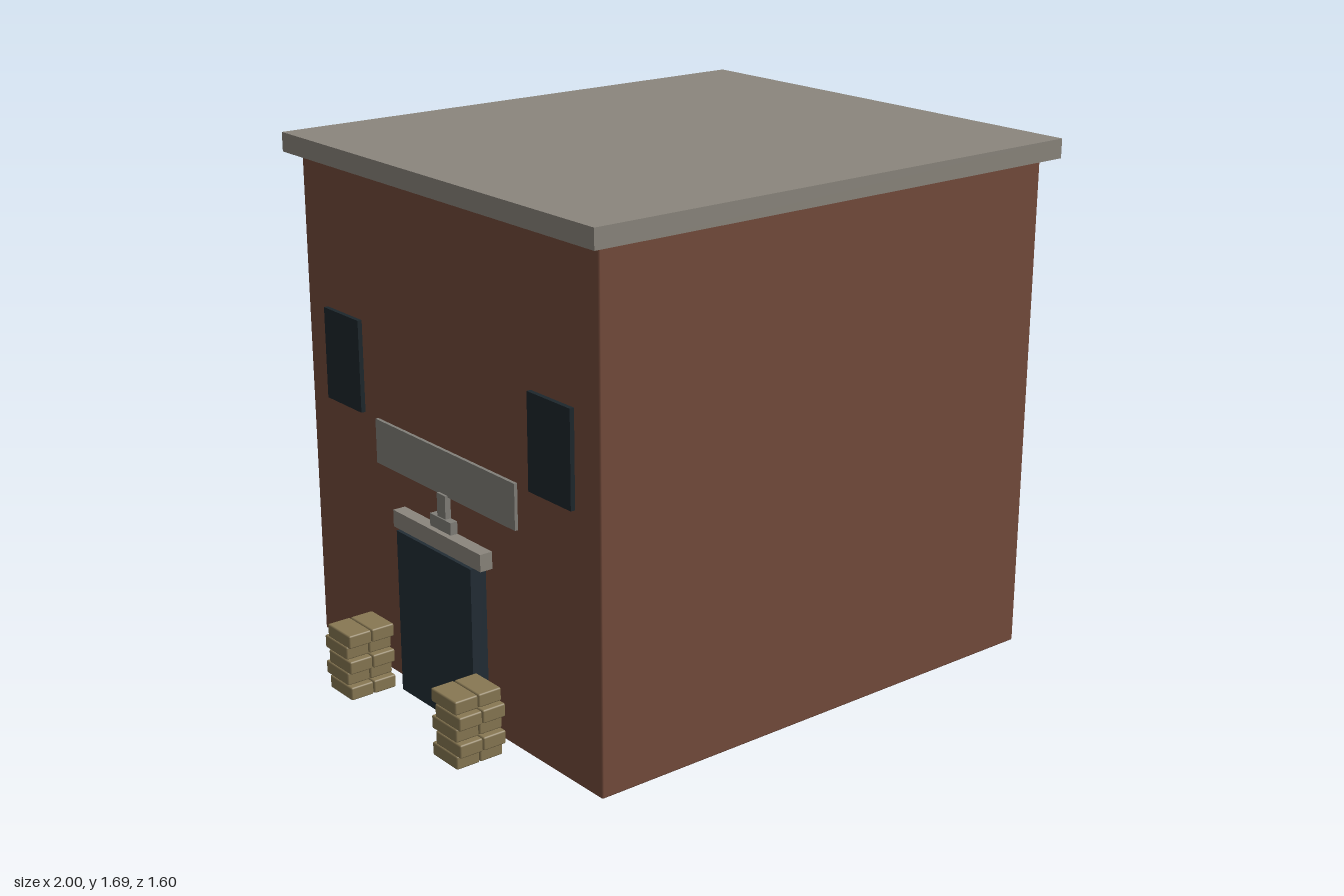
import * as THREE from 'three';
import { RoundedBoxGeometry } from 'three/addons/geometries/RoundedBoxGeometry.js';

const mat = (name, color) => {
  const m = new THREE.MeshStandardMaterial({ color });
  m.name = name;
  return m;
};

export function createModel() {
  const group = new THREE.Group();
  group.name = 'building';
  const brick = mat('red brown wall', 0x744b3b);
  const roofGrey = mat('warm grey roof', 0x8b867d);
  const doorDark = mat('dark slate door', 0x222d35);
  const glass = mat('dark window', 0x1d272c);
  const signGrey = mat('sign grey', 0x817f79);
  const stone = mat('tan stone', 0x887853);

  // Box given by its extents; a bevel softens the edges
  const box = (name, material, [x0, x1], [y0, y1], [z0, z1], bevel = 0, parent = group) => {
    const size = [x1 - x0, y1 - y0, z1 - z0];
    const geo = bevel ? new RoundedBoxGeometry(...size, 1, bevel) : new THREE.BoxGeometry(...size);
    const mesh = new THREE.Mesh(geo, material);
    mesh.position.set((x0 + x1) / 2, (y0 + y1) / 2, (z0 + z1) / 2);
    mesh.name = name;
    parent.add(mesh);
    return mesh;
  };

  // Main block and overhanging flat roof
  const wallX = -0.775;
  box('walls', brick, [wallX, 0.95], [0, 1.628], [-0.76, 0.76], 0.005);
  box('roof', roofGrey, [-0.82, 1], [1.628, 1.69], [-0.8, 0.8]);

  // Entrance on the -x wall
  box('door', doorDark, [-0.83, wallX], [0, 0.54], [-0.2, 0.2]);
  box('lintel', roofGrey, [-0.818, wallX], [0.54, 0.595], [-0.235, 0.235]);
  box('signBoard', signGrey, [-0.786, wallX], [0.705, 0.85], [-0.37, 0.37]);
  box('signBracketStem', signGrey, [-0.795, wallX], [0.63, 0.71], [-0.022, 0.022]);
  box('signBracketBase', signGrey, [-0.8, wallX], [0.595, 0.635], [-0.055, 0.055]);

  // Upper windows and stacked stone piers, mirrored about the door
  for (const side of [-1, 1]) {
    const span = (a, b) => (side > 0 ? [a, b] : [-b, -a]);
    box('window', glass, [-0.79, wallX], [0.85, 1.15], span(0.445, 0.645));

    const pier = new THREE.Group();
    pier.name = 'stonePier';
    group.add(pier);
    const courseHeight = 0.044;
    for (let row = 0; row < 5; row++) {
      const y = row * courseHeight;
      const shift = row % 2 ? 0.02 : 0; // alternate courses step outward
      for (const x of [-1, -0.917]) {
        box('stoneBlock', stone, [x, x + 0.08], [y, y + courseHeight - 0.001],
          span(0.227 + shift, 0.356 + shift), 0.005, pier);
      }
    }
  }
  return group;
}
